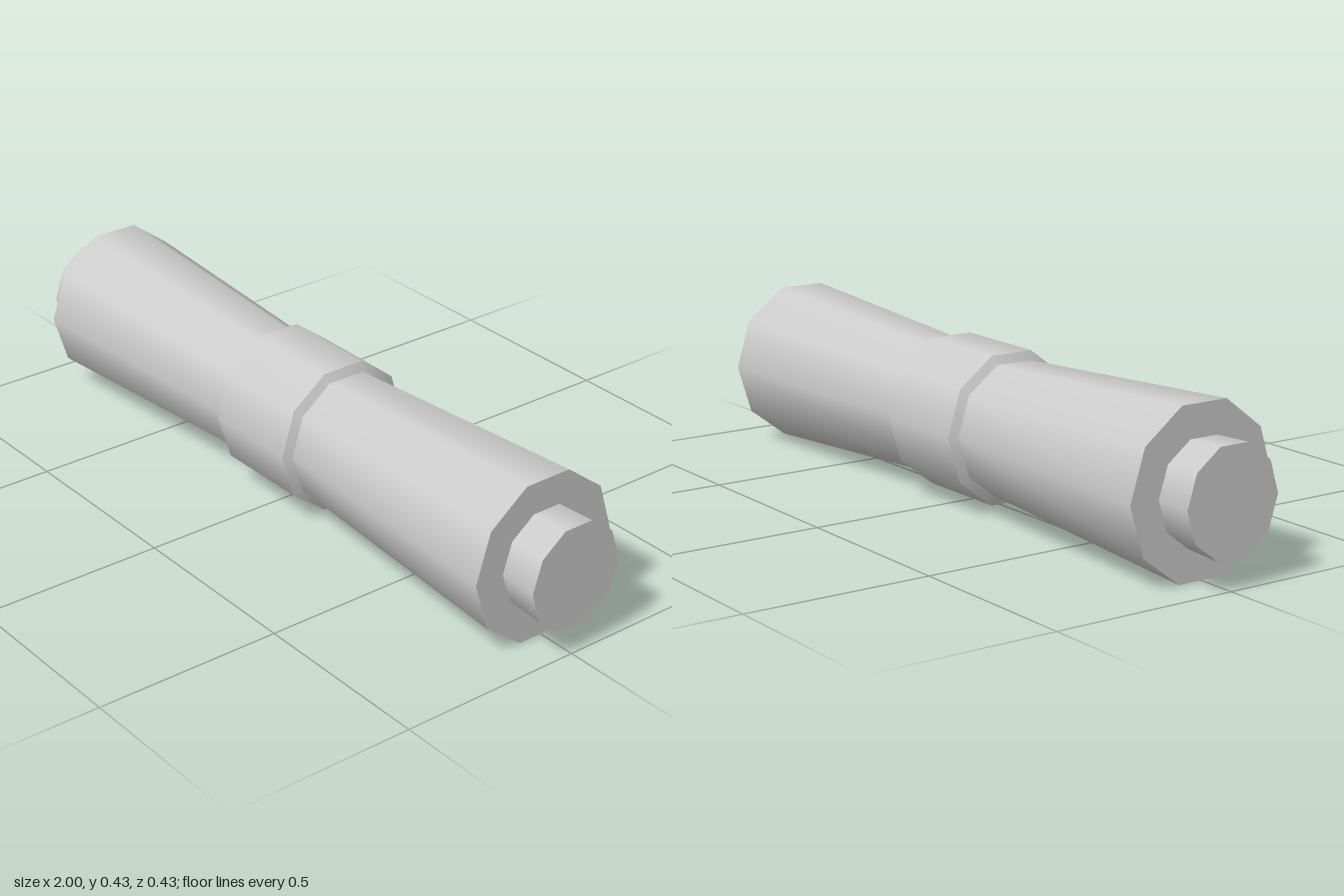
import * as THREE from 'three';

const SIDES = 10;
const CENTER_Y = 0.2135;
// the ten-sided section is stretched so that it is as tall as it is wide
const STRETCH = 1 / Math.sin(Math.PI * 0.4);

export function createModel() {
  const metal = new THREE.MeshStandardMaterial({ color: 0xcccccc });
  metal.name = 'grey metal';

  const model = new THREE.Group();
  model.name = 'handle';

  // section along x from x0 (radius r0) to x1 (radius r1)
  function section(name, x0, r0, x1, r1, open, parent) {
    const geometry = new THREE.CylinderGeometry(r1, r0, x1 - x0, SIDES, 1, open);
    geometry.rotateZ(-Math.PI / 2);
    geometry.scale(1, STRETCH, 1);
    geometry.translate((x0 + x1) / 2, CENTER_Y, 0);
    const mesh = new THREE.Mesh(geometry, metal);
    mesh.name = name;
    parent.add(mesh);
  }

  // central band
  section('collar', -0.136, 0.196, 0.136, 0.196, true, model);

  // matching halves: bevel, flared grip and end pin
  for (const side of [1, -1]) {
    const half = new THREE.Group();
    half.name = side > 0 ? 'leftHalf' : 'rightHalf';
    section('collarBevel', 0.136, 0.196, 0.149, 0.173, true, half);
    section('grip', 0.14, 0.172, 0.892, 0.2135, false, half);
    section('endPin', 0.88, 0.13, 1, 0.1355, false, half);
    if (side < 0) {
      // half turn about the vertical axis
      half.rotation.y = Math.PI;
    }
    model.add(half);
  }

  return model;
}
